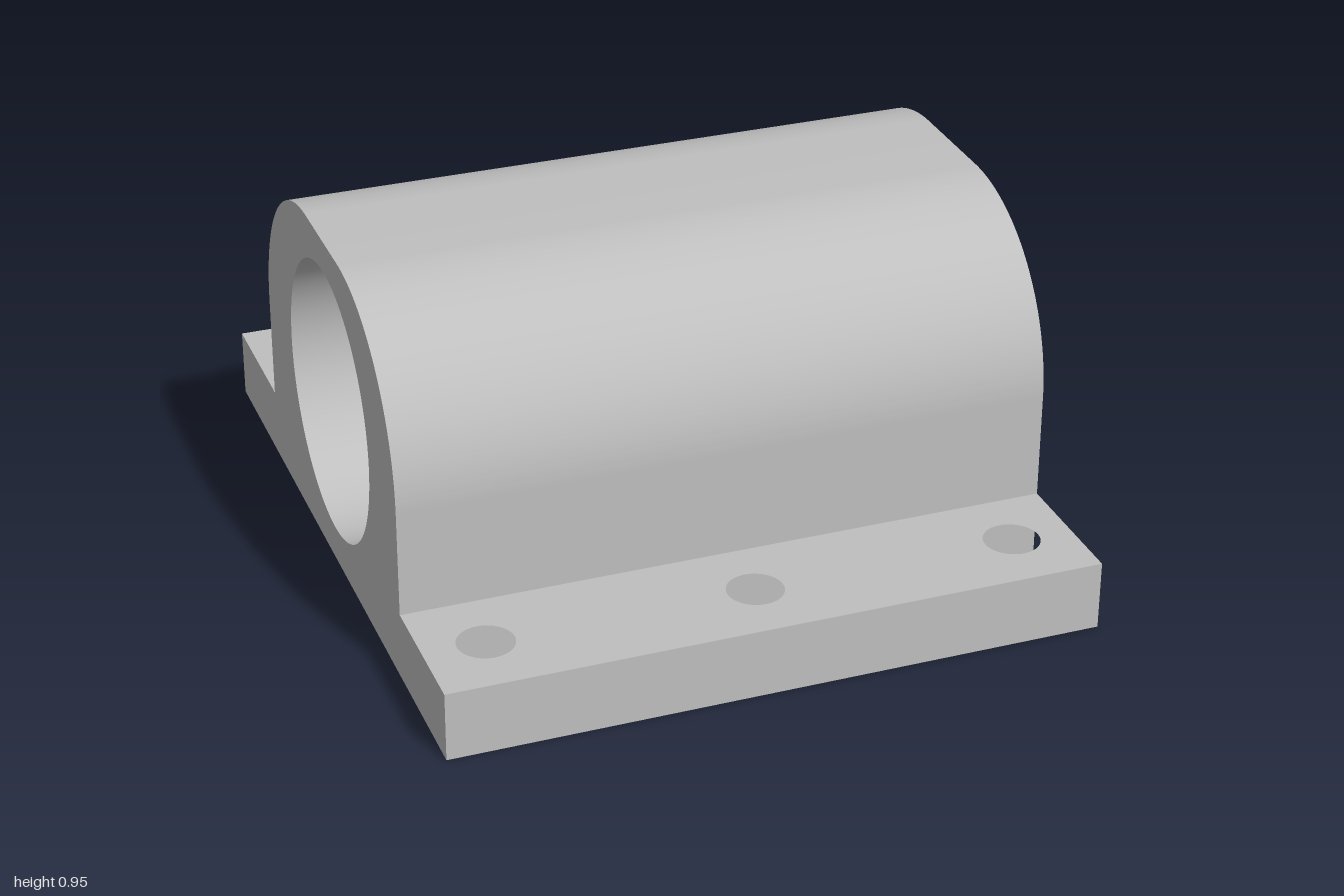
import * as THREE from 'three';
import { toCreasedNormals } from 'three/addons/utils/BufferGeometryUtils.js';

const LENGTH = 1.76;       // along x
const HALF_BODY = 0.62;    // half width of the housing along z
const TOP = 0.95;
const ROUND = 0.47;        // shoulder radius
const BORE_Y = 0.48;
const SEAT_R = 0.38, BORE_R = 0.31, SEAT_DEPTH = 0.24;
const FLANGE_T = 0.19;

function circleHole(shape, x, y, r) {
  const hole = new THREE.Path();
  hole.absarc(x, y, r, 0, Math.PI * 2, true);
  shape.holes.push(hole);
}

// Extrude with smooth curves and sharp edges
function extrude(shape, depth) {
  const geo = new THREE.ExtrudeGeometry(shape, { depth, bevelEnabled: false, curveSegments: 48 });
  return toCreasedNormals(geo, 0.5);
}

// Extrude a cross-section along x, centred on x = 0
function extrudeAlongX(shape, length) {
  return extrude(shape, length).translate(0, 0, -length / 2).rotateY(Math.PI / 2);
}

export function createModel() {
  const model = new THREE.Group();
  model.name = 'bearingBlock';
  const metal = new THREE.MeshStandardMaterial({ color: 0xbfbfbf });
  metal.name = 'lightGrey';

  const add = (name, geo) => {
    const mesh = new THREE.Mesh(geo, metal);
    mesh.name = name;
    model.add(mesh);
  };

  // Housing with rounded shoulders, flat top and a wide bore
  const body = new THREE.Shape();
  body.moveTo(-HALF_BODY, 0);
  body.lineTo(HALF_BODY, 0);
  body.lineTo(HALF_BODY, TOP - ROUND);
  body.absarc(HALF_BODY - ROUND, TOP - ROUND, ROUND, 0, Math.PI / 2, false);
  body.lineTo(ROUND - HALF_BODY, TOP);
  body.absarc(ROUND - HALF_BODY, TOP - ROUND, ROUND, Math.PI / 2, Math.PI, false);
  body.lineTo(-HALF_BODY, 0);
  circleHole(body, 0, BORE_Y, SEAT_R);
  add('housing', extrudeAlongX(body, LENGTH));

  // Narrower middle of the bore, leaving a bearing seat at each end
  const ring = new THREE.Shape();
  ring.absarc(0, BORE_Y, SEAT_R, 0, Math.PI * 2, false);
  circleHole(ring, 0, BORE_Y, BORE_R);
  add('boreShoulder', extrudeAlongX(ring, LENGTH - 2 * SEAT_DEPTH));

  // Mounting flanges with three bolt holes each
  for (const [name, side] of [['frontFlange', -1], ['backFlange', 1]]) {
    const near = side * HALF_BODY, far = side;
    const plate = new THREE.Shape([
      new THREE.Vector2(-LENGTH / 2, near),
      new THREE.Vector2(LENGTH / 2, near),
      new THREE.Vector2(LENGTH / 2, far),
      new THREE.Vector2(-LENGTH / 2, far),
    ]);
    for (const x of [-0.715, 0, 0.715]) circleHole(plate, x, side * 0.81, 0.075);
    add(name, extrude(plate, FLANGE_T).rotateX(-Math.PI / 2));
  }

  return model;
}
